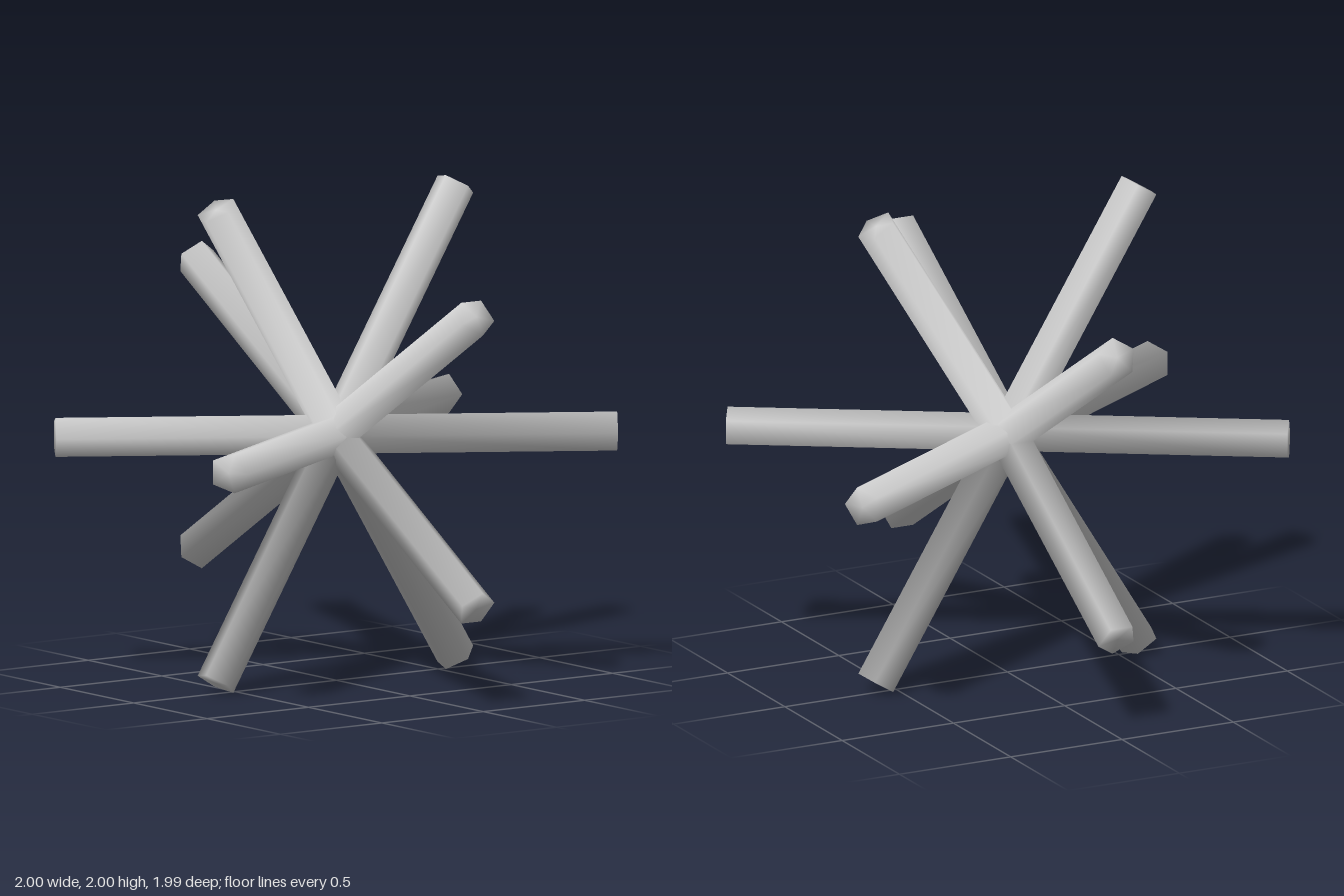
import * as THREE from 'three';

// Five-sided arm from the centre outwards; its smooth normals lean outwards,
// blending into the end cap at the tip and into the neighbouring arms at the root
function armGeometry(radius, length) {
  const arm = new THREE.CylinderGeometry(radius, radius, length, 5, 1).translate(0, length / 2, 0);
  const { position, normal } = arm.attributes;
  const v = new THREE.Vector3();
  for (let i = 0; i < position.count; i++) {
    v.fromBufferAttribute(position, i);
    const lean = v.y > length / 2 ? 0.74 : 1.4;
    v.divideScalar(radius).setY(lean).normalize();
    normal.setXYZ(i, v.x, v.y, v.z);
  }
  return arm;
}

// Twelve arms pointing to the corners of an icosahedron
export function createModel() {
  const group = new THREE.Group();
  group.name = 'starburst';
  const material = new THREE.MeshStandardMaterial({ color: 0xcccccc });
  const geometry = armGeometry(0.083, 1.125);
  const phi = (1 + Math.sqrt(5)) / 2;

  const addArm = (name, x, y, z) => {
    // One ridge of each arm leans as far to the front as it can
    const along = new THREE.Vector3(x, y, z).normalize();
    const ridge = new THREE.Vector3(0, 0, 1).addScaledVector(along, -along.z).normalize();
    const side = new THREE.Vector3().crossVectors(along, ridge);
    const arm = new THREE.Mesh(geometry, material);
    arm.name = name;
    arm.quaternion.setFromRotationMatrix(new THREE.Matrix4().makeBasis(side, along, ridge));
    arm.position.set(0, 1, -0.004);
    group.add(arm);
  };

  for (const s of [-1, 1]) {
    for (const t of [-phi, phi]) {
      addArm('uprightArm', s, t, 0);
      addArm('sidewaysArm', t, 0, s);
      addArm('frontToBackArm', 0, s, t);
    }
  }
  return group;
}
